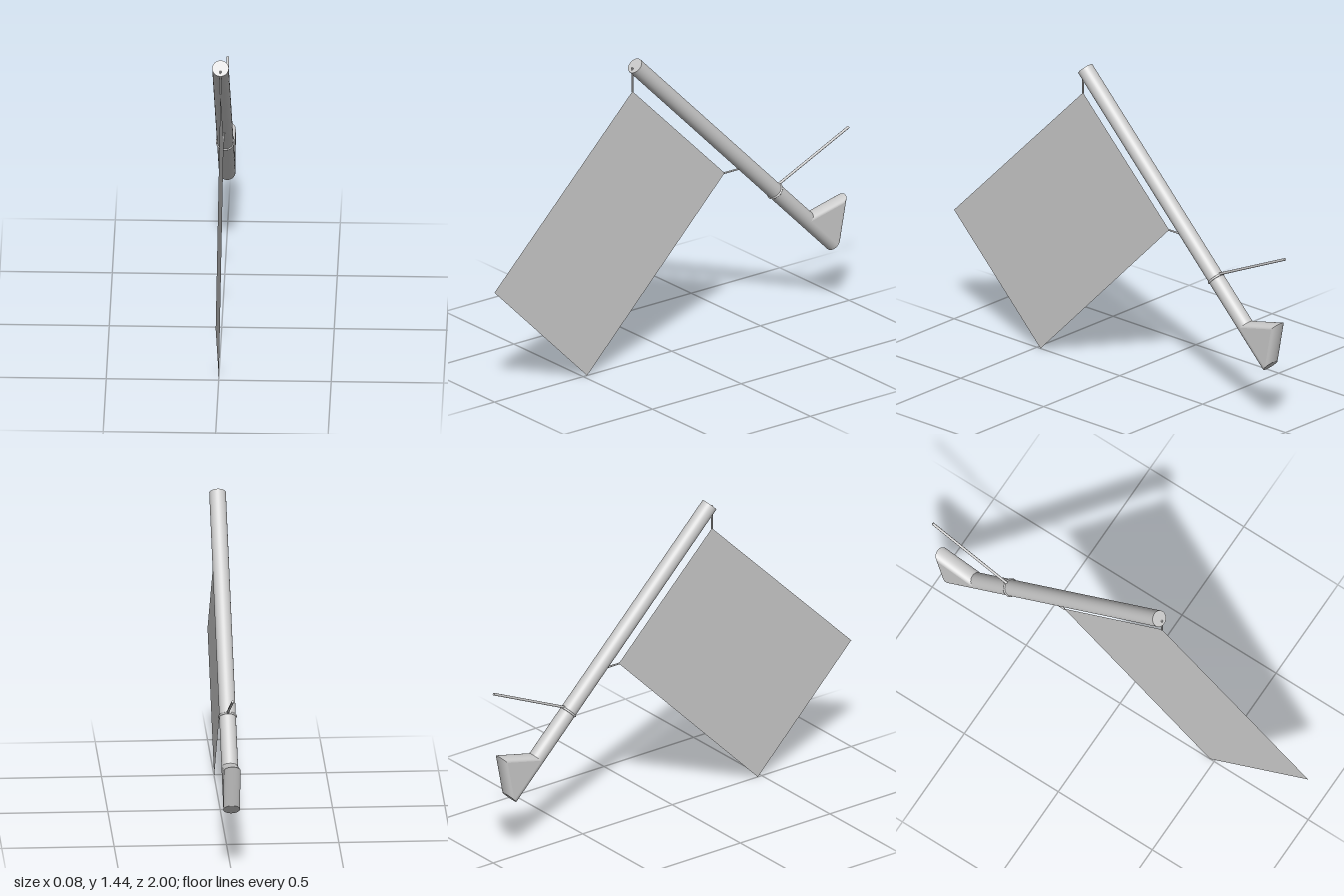
import * as THREE from 'three';

const material = new THREE.MeshStandardMaterial({ color: 0xcccccc });
const doubleSided = new THREE.MeshStandardMaterial({ color: 0xcccccc, side: THREE.DoubleSide });
const R = 0.037; // pole radius
const LENGTH = 1.58;

function addMesh(parent, name, geometry, mat = material) {
  const mesh = new THREE.Mesh(geometry, mat);
  mesh.name = name;
  parent.add(mesh);
  return mesh;
}

// Thin rod between two [y, z] points in the x = 0 plane
function addRod(parent, name, from, to, radius) {
  const a = new THREE.Vector3(0, ...from);
  const b = new THREE.Vector3(0, ...to);
  const dir = b.clone().sub(a);
  const rod = addMesh(parent, name, new THREE.CylinderGeometry(radius, radius, dir.length(), 10));
  rod.position.copy(a).add(b).multiplyScalar(0.5);
  rod.quaternion.setFromUnitVectors(new THREE.Vector3(0, 1, 0), dir.normalize());
}

// Half-round strip running between two [height, offset] stations
function halfRoundStrip([s0, d0], [s1, d1]) {
  const geometry = new THREE.PlaneGeometry(1, 1, 16, 1);
  const p = geometry.attributes.position;
  for (let i = 0; i < p.count; i++) {
    const a = Math.PI * (p.getX(i) + 0.5);
    const v = p.getY(i) + 0.5;
    const offset = d0 + (d1 - d0) * v + R * Math.sin(a);
    p.setXYZ(i, R * Math.cos(a), s0 + (s1 - s0) * v, -offset);
  }
  geometry.computeVertexNormals();
  return geometry;
}

export function createModel() {
  const model = new THREE.Group();
  model.name = 'flagOnPole';

  // Pole assembly, leaning forward at 45 degrees, origin at the foot
  const poleGroup = new THREE.Group();
  poleGroup.name = 'poleAssembly';
  poleGroup.position.set(0, 0.3, -0.909);
  poleGroup.rotation.x = Math.PI / 4;
  model.add(poleGroup);

  addMesh(poleGroup, 'pole', new THREE.CylinderGeometry(R, R, LENGTH, 32)).position.y = LENGTH / 2;

  // Ring that holds the stay
  const ring = addMesh(poleGroup, 'ring', new THREE.TorusGeometry(R, 0.005, 8, 32));
  ring.rotation.x = Math.PI / 2;
  ring.position.y = 0.463;

  // Wedge-shaped wall bracket: two half-round edges and two flat cheeks
  const bracket = new THREE.Group();
  bracket.name = 'bracket';
  poleGroup.add(bracket);
  const foot = [0, 0], tip = [0.11, 0.163], head = [0.212, 0];
  addMesh(bracket, 'bracketLowerEdge', halfRoundStrip(foot, tip));
  addMesh(bracket, 'bracketUpperEdge', halfRoundStrip(tip, head));
  for (const side of [1, -1]) {
    const corners = side > 0 ? [foot, tip, head] : [foot, head, tip];
    const points = corners.map(([s, d]) => new THREE.Vector3(side * R, s, -d));
    const cheek = new THREE.BufferGeometry().setFromPoints(points);
    cheek.computeVertexNormals();
    addMesh(bracket, side > 0 ? 'bracketLeftCheek' : 'bracketRightCheek', cheek);
  }

  // Flag: a flat sheet; shape x runs along -z once turned
  const outline = [[-1, 0.525], [-0.478, 0.003], [0.298, 0.782], [-0.222, 1.298]];
  const flagShape = new THREE.Shape(outline.map(([x, y]) => new THREE.Vector2(x, y)));
  const flag = addMesh(model, 'flag', new THREE.ShapeGeometry(flagShape), doubleSided);
  flag.rotation.y = Math.PI / 2;

  // Ties from the flag corners to the pole, and the stay back to the wall
  addRod(model, 'upperTie', [1.295, 0.222], [1.41, 0.222], 0.004);
  addRod(model, 'lowerTie', [0.782, -0.295], [0.782, -0.41], 0.004);
  addRod(model, 'stay', [0.65, -0.592], [0.832, -0.997], 0.006);

  return model;
}
